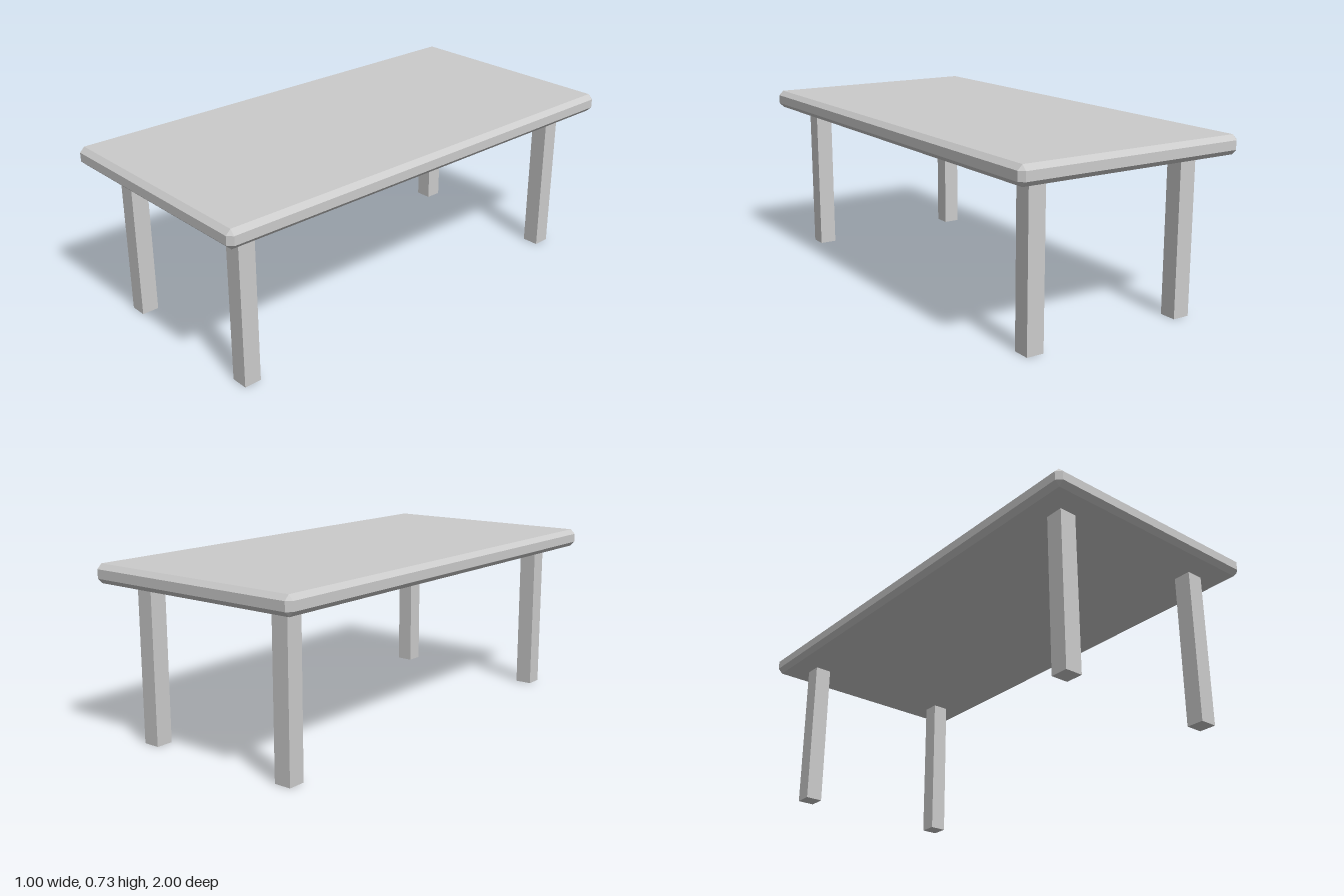
import * as THREE from 'three';
import { ConvexGeometry } from 'three/addons/geometries/ConvexGeometry.js';

const material = new THREE.MeshStandardMaterial({ color: 0xcccccc, flatShading: true });

// Box with every edge and corner cut by a flat chamfer.
function chamferedBox(width, height, depth, bevel) {
  const half = new THREE.Vector3(width / 2, height / 2, depth / 2);
  const points = [];
  for (const sx of [-1, 1]) for (const sy of [-1, 1]) for (const sz of [-1, 1]) {
    for (const axis of ['x', 'y', 'z']) {
      const p = half.clone().subScalar(bevel);
      p[axis] = half[axis];
      points.push(p.multiply(new THREE.Vector3(sx, sy, sz)));
    }
  }
  return new ConvexGeometry(points);
}

export function createModel() {
  const table = new THREE.Group();
  table.name = 'table';

  // Tabletop
  const topHeight = 0.077, legHeight = 0.65;
  const top = new THREE.Mesh(chamferedBox(1, topHeight, 2, 0.02), material);
  top.name = 'tabletop';
  top.position.y = legHeight + topHeight / 2;
  table.add(top);

  // Four square legs
  const legGeometry = new THREE.BoxGeometry(0.073, legHeight, 0.073);
  for (const [zName, z] of [['front', 0.85], ['back', -0.85]]) {
    for (const [xName, x] of [['Left', 0.35], ['Right', -0.35]]) {
      const leg = new THREE.Mesh(legGeometry, material);
      leg.name = `${zName}${xName}Leg`;
      leg.position.set(x, legHeight / 2, z);
      table.add(leg);
    }
  }
  return table;
}
